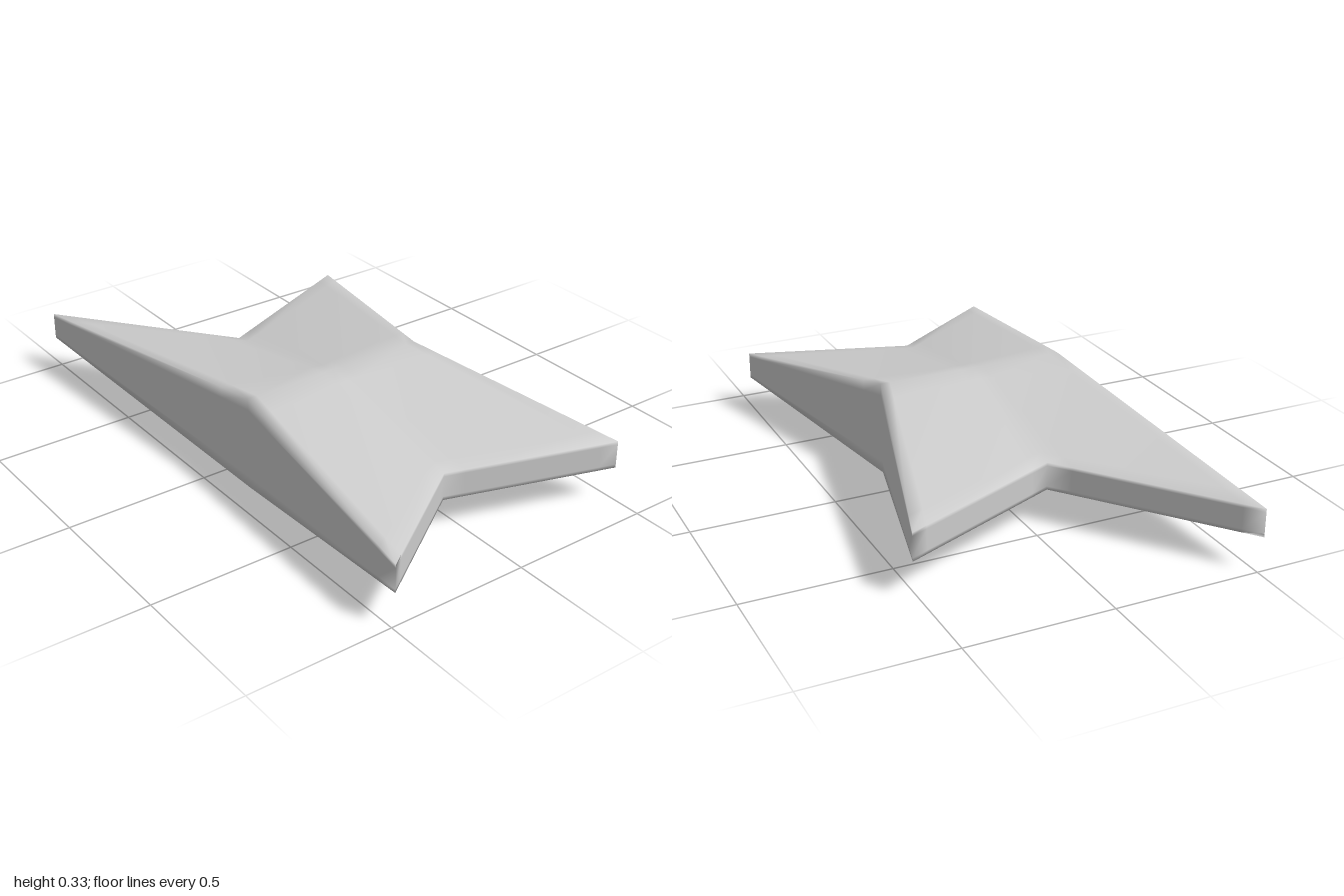
import * as THREE from 'three';
import { mergeVertices } from 'three/addons/utils/BufferGeometryUtils.js';

// Plan outline as [x, z]; rows run back, ridge, front and columns run right (-x), middle, left (+x)
const PLAN = [
  [[-0.515, -1], [-0.07, -0.43], [0.51, -0.68]],
  [[-0.41, 0.14], [-0.07, 0.14], [0.27, 0.14]],
  [[-0.49, 1], [-0.07, 0.71], [0.5, 0.89]],
];
const MID_Y = 0.1665, RIDGE_HALF = 0.1665, RIM_HALF = 0.0485;

// Edge loops close to the rims and ridge keep the smooth shading tight
const ACROSS = [-1, -0.9, -0.12, 0, 0.12, 0.9, 1];
const UPRIGHT = [-1, -0.75, 0.75, 1];

const { lerp } = THREE.MathUtils;
const pick = (table, t) => table[Math.round((t + 1) / 2 * (table.length - 1))];

// Position along one row of three outline points, u from -1 to 1
function alongRow(row, u) {
  const end = u < 0 ? row[0] : row[2];
  return row[1].map((c, i) => lerp(c, end[i], Math.abs(u)));
}

export function createModel() {
  const group = new THREE.Group();
  group.name = 'fourPointedSlab';
  const grey = new THREE.MeshStandardMaterial({ color: 0xcccccc });
  grey.name = 'light grey';

  // A box bent into the four-pointed plan, thickest along the ridge
  let geo = new THREE.BoxGeometry(2, 2, 2, ACROSS.length - 1, UPRIGHT.length - 1, ACROSS.length - 1);
  geo.deleteAttribute('normal');
  geo.deleteAttribute('uv');
  geo.clearGroups();
  const pos = geo.attributes.position;
  for (let i = 0; i < pos.count; i++) {
    const u = pick(ACROSS, pos.getX(i));
    const t = pick(UPRIGHT, pos.getY(i));
    const v = pick(ACROSS, pos.getZ(i));
    const ridge = alongRow(PLAN[1], u);
    const end = alongRow(v < 0 ? PLAN[0] : PLAN[2], u);
    const [x, z] = ridge.map((c, k) => lerp(c, end[k], Math.abs(v)));
    pos.setXYZ(i, x, MID_Y + t * lerp(RIDGE_HALF, RIM_HALF, Math.abs(v)), z);
  }
  geo = mergeVertices(geo, 1e-5);
  geo.computeVertexNormals();

  const body = new THREE.Mesh(geo, grey);
  body.name = 'body';
  group.add(body);
  return group;
}
